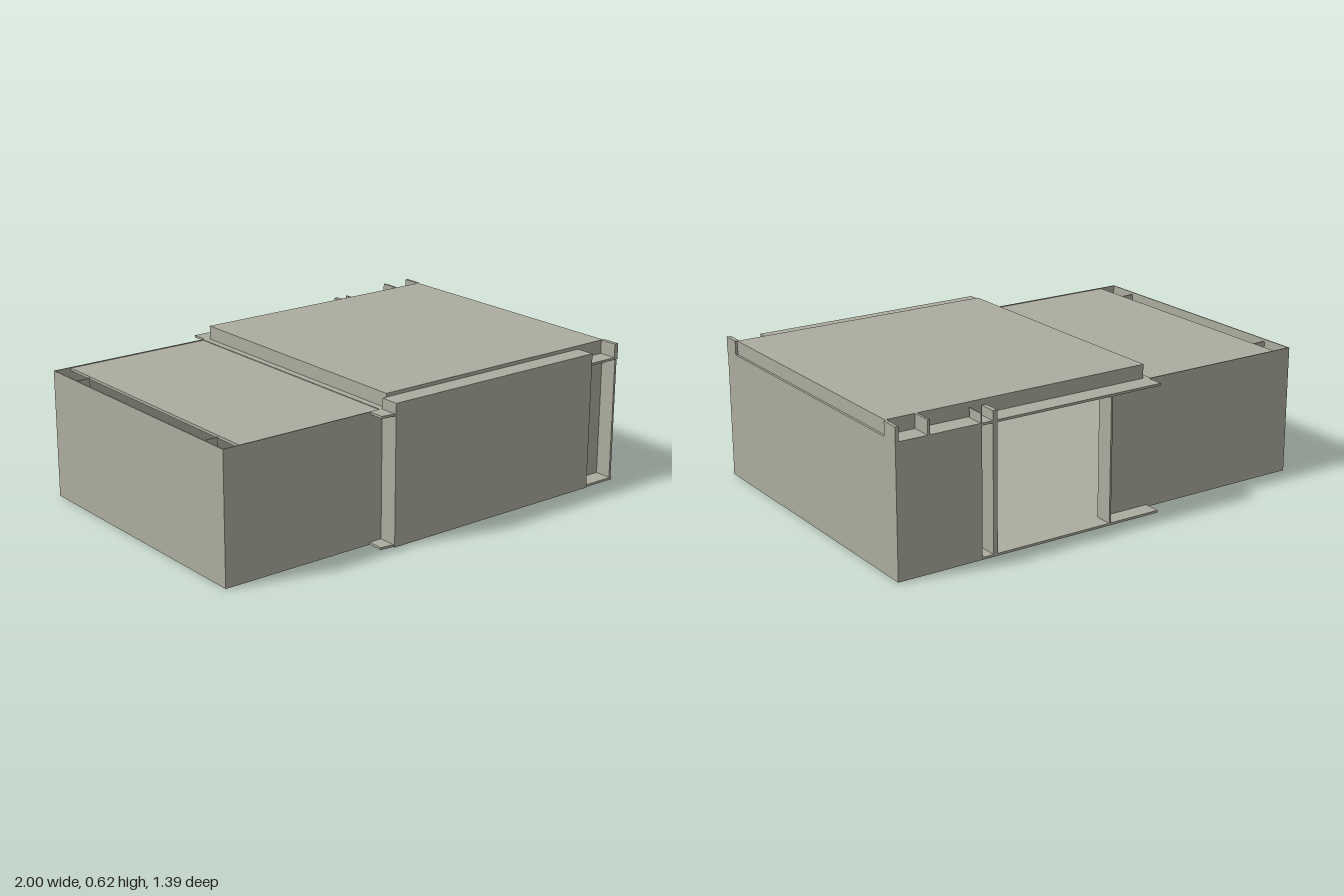
import * as THREE from 'three';

export function createModel() {
  const model = new THREE.Group();
  model.name = 'building';
  const plaster = new THREE.MeshStandardMaterial({ color: 0xadac9f });
  plaster.name = 'grey plaster';

  // Box given by its limits on each axis
  function slab(name, [x0, x1], [y0, y1], [z0, z1]) {
    const mesh = new THREE.Mesh(new THREE.BoxGeometry(x1 - x0, y1 - y0, z1 - z0), plaster);
    mesh.position.set((x0 + x1) / 2, (y0 + y1) / 2, (z0 + z1) / 2);
    mesh.name = name;
    model.add(mesh);
  }

  // Horizontal plate cut from a plan outline of [x, z] corners
  function plate(name, outline, y, thickness) {
    const shape = new THREE.Shape(outline.map(([x, z]) => new THREE.Vector2(x, -z)));
    const geometry = new THREE.ExtrudeGeometry(shape, { depth: thickness, bevelEnabled: false });
    geometry.rotateX(-Math.PI / 2);
    const mesh = new THREE.Mesh(geometry, plaster);
    mesh.position.y = y;
    mesh.name = name;
    model.add(mesh);
  }

  // Floor and the ceiling of the taller wing, with the small tab at the joint
  plate('floor', [
    [-0.92, -0.62], [-0.24, -0.62], [-0.24, -0.7], [1, -0.7], [1, 0.69],
    [-0.22, 0.69], [-0.3, 0.68], [-0.3, 0.61], [-0.92, 0.61],
  ], 0, 0.01);
  plate('ceiling', [
    [-0.24, -0.7], [1, -0.7], [1, 0.69], [-0.22, 0.69], [-0.3, 0.68], [-0.3, 0.61], [-0.24, 0.61],
  ], 0.55, 0.01);

  // Lower wing: roof, walls and downstand beam
  slab('lowerRoof', [-0.92, -0.24], [0.545, 0.557], [-0.62, 0.61]);
  slab('endWall', [-1, -0.995], [0, 0.56], [-0.62, 0.61]);
  slab('lowerFrontWall', [-1, -0.24], [0, 0.56], [0.605, 0.61]);
  slab('lowerBackWall', [-1, 0], [0, 0.56], [-0.625, -0.62]);
  slab('downstandBeam', [-0.25, -0.24], [0.49, 0.56], [-0.62, 0.61]);

  // Sill and fins in the slot behind the end wall
  slab('slotSill', [-0.995, -0.92], [0.27, 0.28], [-0.47, 0.46]);
  for (const z of [-0.47, 0.46]) slab('slotFin', [-0.995, -0.92], [0, 0.55], [z - 0.003, z + 0.003]);

  // Upper roof block
  slab('upperRoof', [-0.22, 0.98], [0.56, 0.62], [-0.61, 0.61]);

  // Taller wing: front panel, recessed corner and side wall
  slab('frontPanel', [-0.24, 0.84], [0, 0.605], [0.61, 0.695]);
  slab('frontRecessWall', [0.84, 1], [0, 0.56], [0.605, 0.61]);
  slab('sideWall', [0.99, 1], [0, 0.56], [-0.7, 0.685]);

  // Fascia pieces at the side ends
  slab('frontFasciaEnd', [0.98, 1], [0.56, 0.62], [0.61, 0.69]);
  slab('backFasciaEnd', [0.985, 1], [0.56, 0.62], [-0.7, -0.62]);
  slab('sideFascia', [0.98, 0.99], [0.56, 0.62], [-0.62, 0.69]);

  // Back: wall beside the opening, jambs, post and upstand
  slab('backWall', [0.62, 1], [0, 0.56], [-0.7, -0.695]);
  slab('backReturn', [0.62, 0.625], [0, 0.6], [-0.7, -0.62]);
  slab('backPost', [0.55, 0.57], [0, 0.6], [-0.7, -0.62]);
  slab('backJamb', [0, 0.008], [0, 0.56], [-0.7, -0.62]);
  slab('backUpstand', [0.85, 0.86], [0.56, 0.62], [-0.7, -0.61]);

  return model;
}
